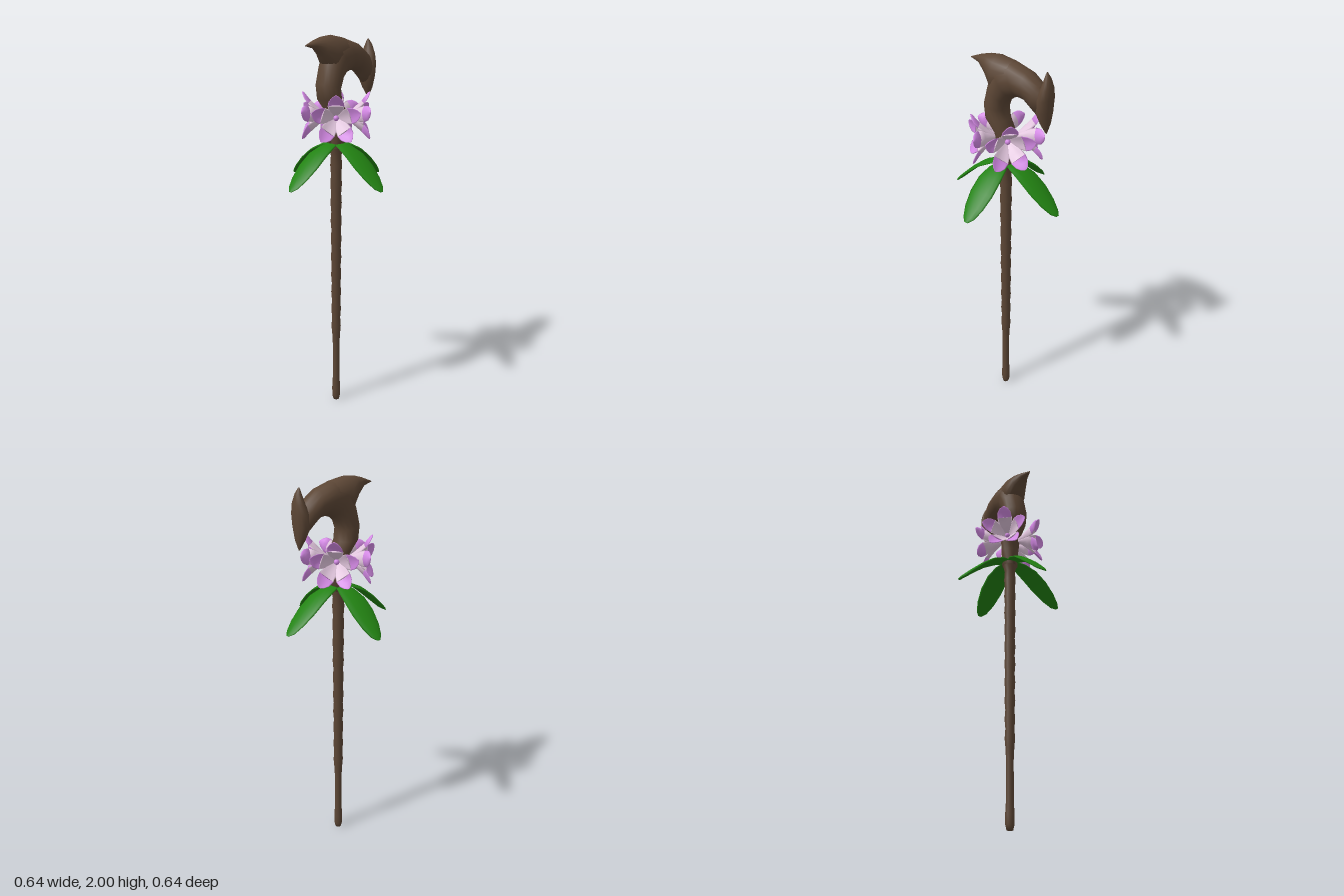
import * as THREE from 'three';

const V = (x, y, z = 0) => new THREE.Vector3(x, y, z);

// Skin through elliptical rings { c, a, b, cup }: a x b points along the path
function loft(rings, sides) {
  const pos = [], idx = [], n = rings.length;
  for (const { c, a, b, cup = 0 } of rings) {
    const dip = b.clone().normalize();
    for (let j = 0; j < sides; j++) {
      const t = (j / sides) * Math.PI * 2, co = Math.cos(t);
      const p = c.clone().addScaledVector(a, co).addScaledVector(b, Math.sin(t))
        .addScaledVector(dip, -cup * co * co);
      pos.push(p.x, p.y, p.z);
    }
  }
  for (let i = 0; i < n - 1; i++) {
    for (let j = 0; j < sides; j++) {
      const k = (j + 1) % sides, p = i * sides, q = p + sides;
      idx.push(p + j, p + k, q + j, p + k, q + k, q + j);
    }
  }
  const last = (n - 1) * sides;
  for (let j = 1; j < sides - 1; j++) {
    idx.push(0, j + 1, j, last, last + j, last + j + 1);
  }
  const g = new THREE.BufferGeometry();
  g.setAttribute('position', new THREE.Float32BufferAttribute(pos, 3));
  g.setIndex(idx);
  g.computeVertexNormals();
  return g;
}

// Wood section from two outline points [x1, y1, x2, y2, half depth]
const woodRings = rows => rows.map(([x1, y1, x2, y2, d]) => ({
  c: V((x1 + x2) / 2, (y1 + y2) / 2),
  a: V((x1 - x2) / 2, (y1 - y2) / 2),
  b: V(0, 0, d),
}));

// Thin blade growing along (y, z): rows of [y, z, half width]
function bladeRings(rows, thick, cup) {
  return rows.map(([y, z, w], i) => {
    const p = rows[Math.max(i - 1, 0)], q = rows[Math.min(i + 1, rows.length - 1)];
    const d = V(0, q[0] - p[0], q[1] - p[1]).normalize();
    const s = i === rows.length - 1 ? 0.4 : 1;
    return { c: V(0, y, z), a: V(w, 0, 0), b: V(0, d.z, -d.y).multiplyScalar(thick * s), cup: cup * w };
  });
}

export function createModel() {
  const mat = (name, color) => new THREE.MeshStandardMaterial({ name, color });
  const wood = mat('wood', 0x5c4635);
  const green = mat('leaf green', 0x228212);
  const pale = mat('pale pink', 0xe2c6de);
  const purple = mat('orchid purple', 0xd58ae6);

  const root = new THREE.Group();
  root.name = 'woodenStaff';
  const add = (parent, name, geo, material) => {
    const m = new THREE.Mesh(geo, material);
    m.name = name;
    parent.add(m);
    return m;
  };

  // Knobbly shaft
  const profile = [[0, 0], [0.016, 0], [0.022, 0.025], [0.023, 0.07], [0.019, 0.14], [0.019, 0.34]]
    .map(p => new THREE.Vector2(...p));
  for (let i = 0; i <= 20; i++) {
    const y = 0.4 + i * 0.05;
    profile.push(new THREE.Vector2(0.022 + 0.006 * (i / 20) + (i % 2 ? 0.004 : 0), y));
  }
  profile.push(new THREE.Vector2(0.042, 1.46));
  add(root, 'shaft', new THREE.LatheGeometry(profile, 12), wood);

  // Hooked head
  const head = new THREE.Group();
  head.name = 'hookedHead';
  root.add(head);
  add(head, 'hook', loft(woodRings([
    [-0.042, 1.44, 0.042, 1.44, 0.043],
    [-0.043, 1.53, 0.043, 1.53, 0.048],
    [-0.05, 1.62, 0.038, 1.64, 0.058],
    [-0.105, 1.69, 0.012, 1.69, 0.066],
    [-0.112, 1.765, 0.003, 1.74, 0.069],
    [-0.088, 1.86, 0.02, 1.785, 0.07],
    [-0.05, 1.97, 0.05, 1.812, 0.071],
    [0.04, 1.985, 0.09, 1.826, 0.071],
    [0.13, 1.957, 0.135, 1.82, 0.069],
    [0.2, 1.91, 0.165, 1.79, 0.062],
    [0.245, 1.86, 0.195, 1.755, 0.045],
  ]), 16), wood);
  add(head, 'backHorn', loft(woodRings([
    [-0.207, 1.956, -0.205, 1.952, 0.002],
    [-0.145, 1.98, -0.15, 1.938, 0.024],
    [-0.095, 1.994, -0.105, 1.895, 0.047],
    [-0.04, 2.0, -0.06, 1.82, 0.068],
    [0.04, 1.986, 0.05, 1.835, 0.066],
    [0.1, 1.96, 0.1, 1.85, 0.05],
  ]), 16), wood);
  add(head, 'endSpike', loft(woodRings([
    [0.231, 1.68, 0.238, 1.68, 0.003],
    [0.205, 1.73, 0.252, 1.73, 0.03],
    [0.18, 1.79, 0.259, 1.79, 0.05],
    [0.185, 1.85, 0.262, 1.85, 0.054],
    [0.206, 1.9, 0.26, 1.9, 0.04],
    [0.219, 1.945, 0.25, 1.945, 0.02],
    [0.227, 1.973, 0.233, 1.973, 0.004],
  ]), 14), wood);

  // Four drooping leaves
  const leafGeo = loft(bladeRings([
    [1.465, 0.02, 0.03], [1.455, 0.07, 0.05], [1.425, 0.135, 0.064], [1.375, 0.2, 0.066],
    [1.32, 0.26, 0.053], [1.28, 0.3, 0.032], [1.264, 0.318, 0.01],
  ], 0.007, 0.12), 12);
  for (let k = 0; k < 4; k++) {
    add(root, 'leaf', leafGeo, green).rotation.y = k * Math.PI / 2;
  }

  // Four five-petalled flowers on the diagonals, petals tipped in a second colour
  const petal = bladeRings([
    [0.008, 0.05, 0.008], [0.032, 0.082, 0.024], [0.055, 0.108, 0.036], [0.077, 0.131, 0.041],
    [0.1, 0.15, 0.036], [0.116, 0.162, 0.022], [0.124, 0.169, 0.006],
  ], 0.005, 0.3);
  const baseGeo = loft(petal.slice(0, 4), 12);
  const tipGeo = loft(petal.slice(3), 12);
  const heartGeo = new THREE.SphereGeometry(0.014, 10, 8);
  for (let f = 0; f < 4; f++) {
    const flower = new THREE.Group();
    flower.name = 'flower';
    flower.position.y = 1.6;
    flower.rotation.y = Math.PI / 4 + f * Math.PI / 2;
    root.add(flower);
    for (let k = 0; k < 5; k++) {
      for (const [name, geo, m] of [['petalBase', baseGeo, pale], ['petalTip', tipGeo, purple]]) {
        add(flower, name, geo, m).rotation.z = k * Math.PI * 2 / 5;
      }
    }
    add(flower, 'flowerHeart', heartGeo, purple).position.z = 0.065;
  }
  return root;
}
